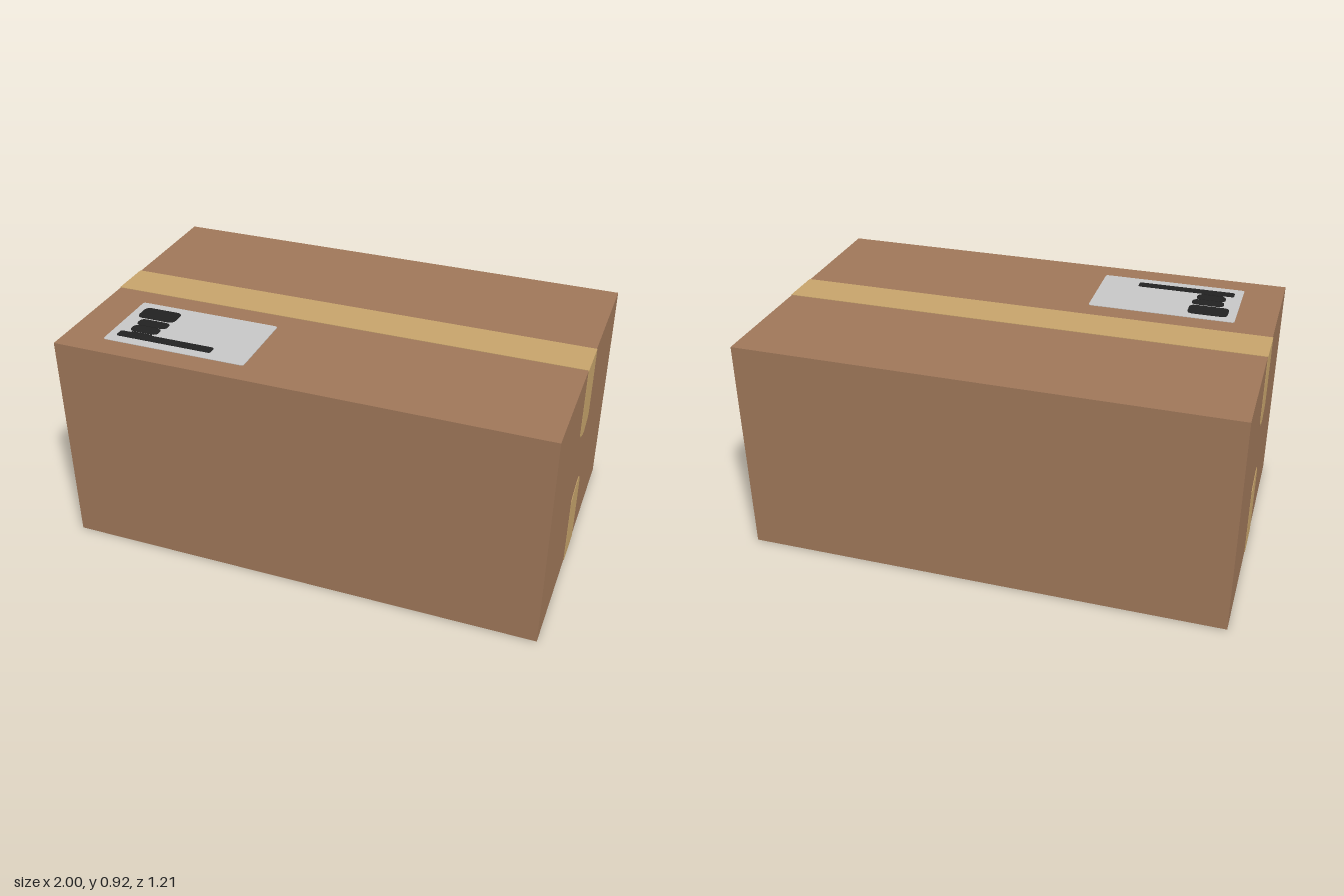
import * as THREE from 'three';

const material = (name, color) => {
  const m = new THREE.MeshStandardMaterial({ color });
  m.name = name;
  return m;
};

export function createModel() {
  const cardboard = material('cardboard', 0xa0785a);
  const tape = material('packing tape', 0xc8a56c);
  const paper = material('label paper', 0xc8c8c8);
  const ink = material('label ink', 0x222222);

  const L = 2, H = 0.92, W = 1.206, T = 0.002; // T: tape and label thickness
  const tapeHalf = 0.0875;
  const group = new THREE.Group();
  group.name = 'shippingBox';

  const add = (name, geometry, mat, x = 0, y = 0, z = 0) => {
    const mesh = new THREE.Mesh(geometry, mat);
    mesh.name = name;
    mesh.position.set(x, y, z);
    group.add(mesh);
    return mesh;
  };

  // Closed carton
  add('carton', new THREE.BoxGeometry(L - 2 * T, H - 2 * T, W), cardboard, 0, H / 2);

  // Long tape strips over the top and bottom seams
  for (const [name, y] of [['topTape', H - T / 2], ['bottomTape', T / 2]]) {
    add(name, new THREE.BoxGeometry(L, T, 2 * tapeHalf), tape, 0, y);
  }

  // Torn tape ends folded onto the end faces; shape x runs toward -z on the right end
  const upper = new THREE.Shape();
  upper.moveTo(-tapeHalf, H - T);
  upper.lineTo(-tapeHalf, 0.63);
  upper.quadraticCurveTo(-tapeHalf, 0.613, -0.07, 0.608);
  upper.lineTo(-0.025, 0.591);
  upper.quadraticCurveTo(0, 0.583, 0.025, 0.591);
  upper.lineTo(0.075, 0.61);
  upper.lineTo(tapeHalf, 0.622);
  upper.lineTo(tapeHalf, H - T);

  const lower = new THREE.Shape();
  lower.moveTo(-tapeHalf, T);
  lower.lineTo(tapeHalf, T);
  lower.lineTo(tapeHalf, 0.295);
  lower.quadraticCurveTo(0.08, 0.325, 0.052, 0.336);
  lower.quadraticCurveTo(0.035, 0.341, 0.015, 0.335);
  lower.lineTo(-0.07, 0.315);
  lower.lineTo(-tapeHalf, 0.303);

  for (const [side, sign] of [['left', 1], ['right', -1]]) {
    for (const [part, shape] of [['UpperTapeEnd', upper], ['LowerTapeEnd', lower]]) {
      const geometry = new THREE.ExtrudeGeometry(shape, { depth: T, bevelEnabled: false });
      add(side + part, geometry, tape, sign * (L / 2 - T)).rotation.y = sign * Math.PI / 2;
    }
  }

  // Flat plate with rounded corners lying on the lid
  const plate = (name, mat, x0, x1, z0, z1, r, y) => {
    const s = new THREE.Shape();
    const a = -z1, b = -z0;
    s.moveTo(x0 + r, a);
    s.lineTo(x1 - r, a);
    s.quadraticCurveTo(x1, a, x1, a + r);
    s.lineTo(x1, b - r);
    s.quadraticCurveTo(x1, b, x1 - r, b);
    s.lineTo(x0 + r, b);
    s.quadraticCurveTo(x0, b, x0, b - r);
    s.lineTo(x0, a + r);
    s.quadraticCurveTo(x0, a, x0 + r, a);
    const geometry = new THREE.ExtrudeGeometry(s, { depth: T, bevelEnabled: false, curveSegments: 4 });
    add(name, geometry, mat, 0, y).rotation.x = -Math.PI / 2;
  };

  // Address label with blacked-out blocks
  plate('label', paper, -0.835, -0.23, 0.178, 0.507, 0.012, H - T);
  const marks = [
    [-0.8, -0.635, 0.216, 0.301, 0.025],
    [-0.772, -0.638, 0.31, 0.36, 0.024],
    [-0.772, -0.65, 0.363, 0.413, 0.022],
    [-0.755, -0.665, 0.417, 0.424, 0.003],
    [-0.8, -0.39, 0.425, 0.466, 0.01],
  ];
  marks.forEach(([x0, x1, z0, z1, r], i) => plate('labelMark' + (i + 1), ink, x0, x1, z0, z1, r, H));

  return group;
}
